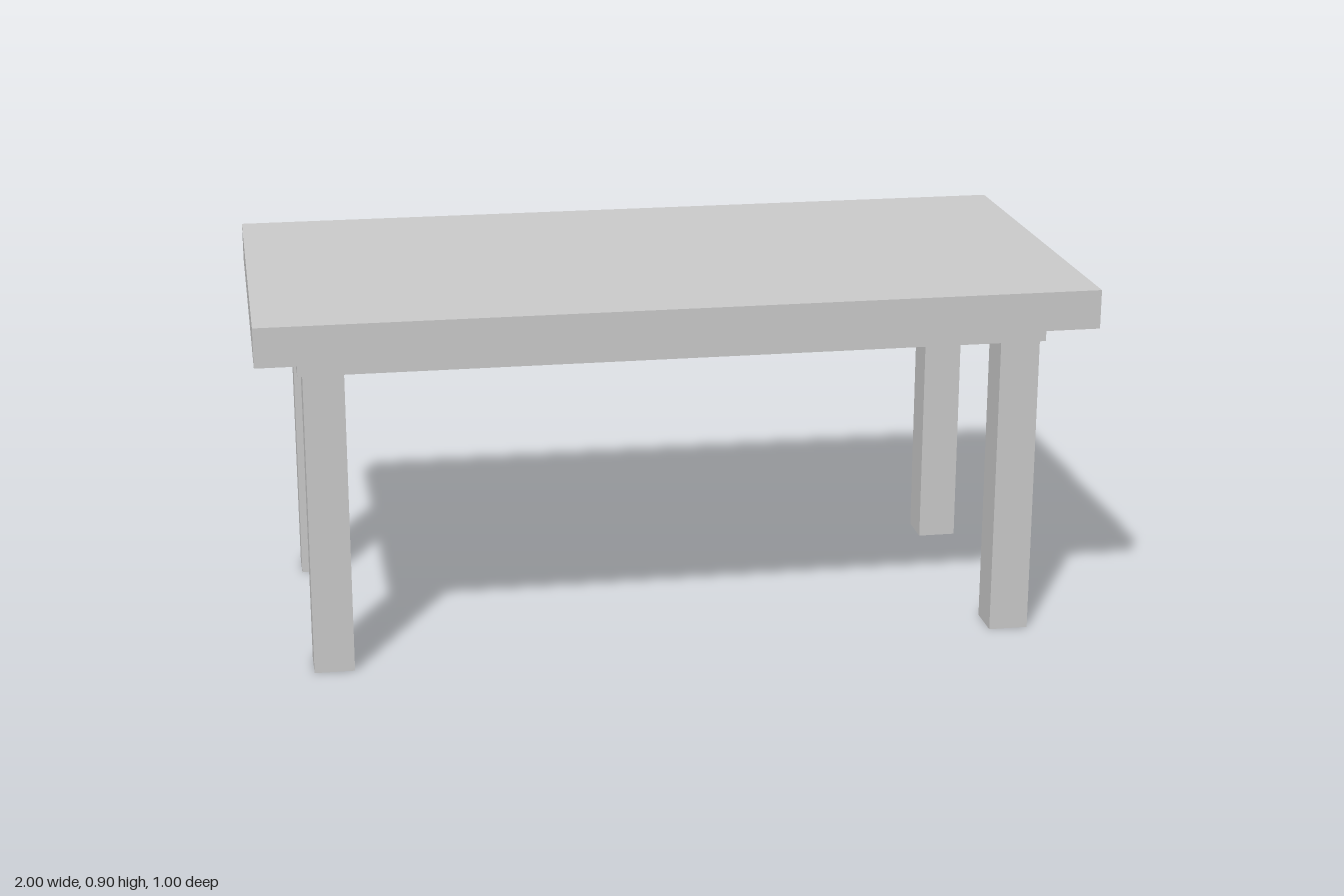
import * as THREE from 'three';

export function createModel() {
  const table = new THREE.Group();
  table.name = 'table';
  const material = new THREE.MeshStandardMaterial({ color: 0xcccccc, flatShading: true });

  // Box standing on height y
  function addBox(name, width, height, depth, x, y, z) {
    const mesh = new THREE.Mesh(new THREE.BoxGeometry(width, height, depth), material);
    mesh.name = name;
    mesh.position.set(x, y + height / 2, z);
    table.add(mesh);
  }

  // Top board and the smaller solid slab beneath it
  addBox('tableTop', 2, 0.095, 1, 0, 0.805, 0);
  addBox('underSlab', 1.8, 0.055, 0.8, 0, 0.75, 0);

  // Four square legs
  for (const [side, x] of [['Left', 0.84], ['Right', -0.84]]) {
    for (const [end, z] of [['front', 0.34], ['back', -0.34]]) {
      addBox(`${end}${side}Leg`, 0.097, 0.75, 0.097, x, 0, z);
    }
  }

  return table;
}
